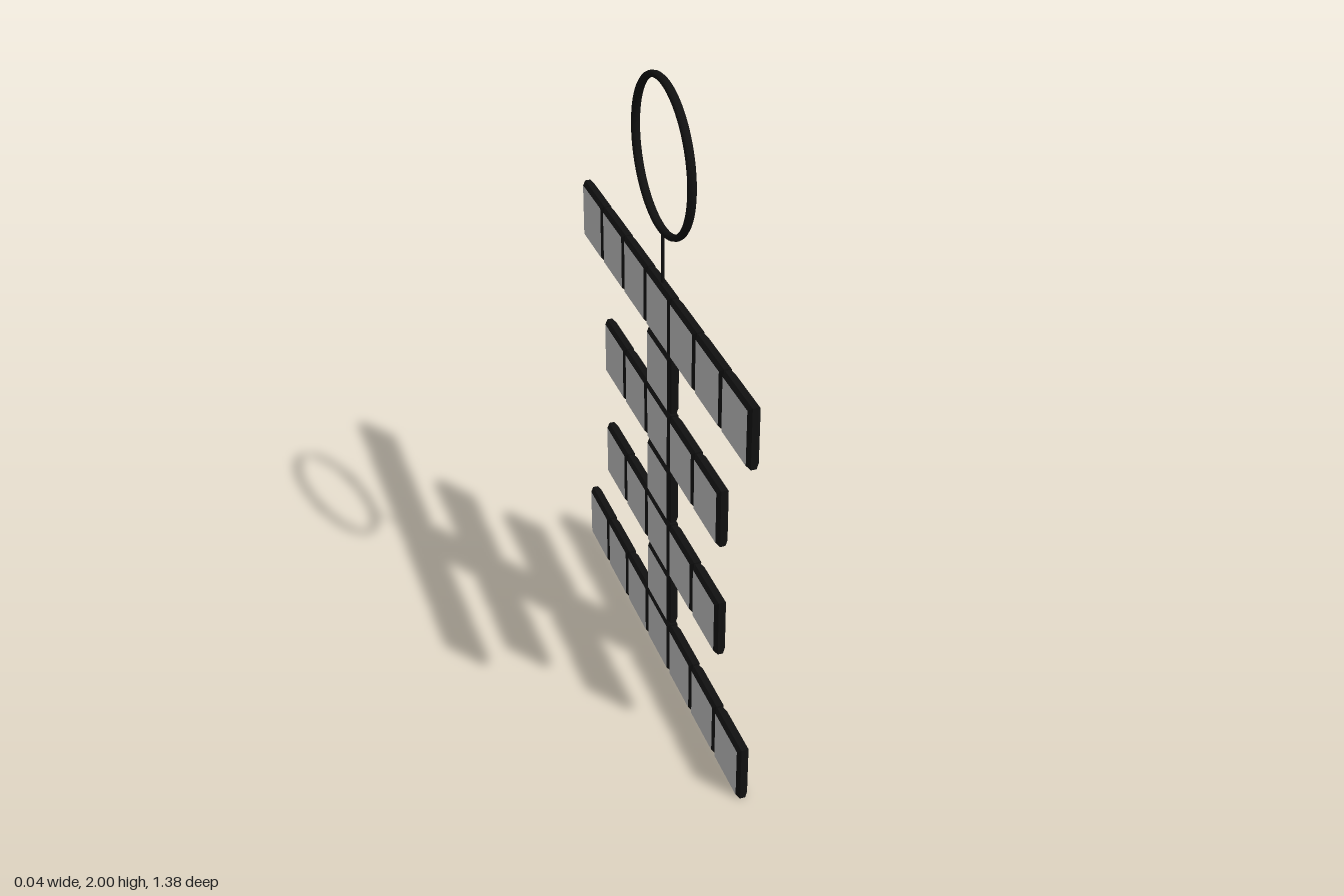
import * as THREE from 'three';

const SIZE = 0.191, PITCH = 0.1975, BEVEL = 0.01, THICK = 0.036;
const BASE_Y = SIZE / 2;

export function createModel() {
  const group = new THREE.Group();
  const dark = new THREE.MeshStandardMaterial({ color: 0x111111 });
  const grey = new THREE.MeshStandardMaterial({ color: 0xcccccc });

  // Bevelled square frame, turned so its faces look along x
  const h = SIZE / 2 - BEVEL;
  const square = new THREE.Shape([
    new THREE.Vector2(-h, -h), new THREE.Vector2(h, -h),
    new THREE.Vector2(h, h), new THREE.Vector2(-h, h),
  ]);
  const depth = THICK - 2 * BEVEL;
  const frameGeo = new THREE.ExtrudeGeometry(square, {
    depth, bevelEnabled: true, bevelThickness: BEVEL, bevelSize: BEVEL, bevelSegments: 1,
  });
  frameGeo.translate(0, 0, -depth / 2).rotateY(Math.PI / 2);
  const paneGeo = new THREE.PlaneGeometry(2 * h, 2 * h);

  function addTile(row, col) {
    const tile = new THREE.Group();
    tile.name = 'tile';
    const frame = new THREE.Mesh(frameGeo, dark);
    frame.name = 'tileFrame';
    tile.add(frame);
    for (const side of [1, -1]) {
      const pane = new THREE.Mesh(paneGeo, grey);
      pane.name = 'tilePane';
      pane.rotation.y = side * Math.PI / 2;
      pane.position.x = side * (THICK / 2 + 0.0006);
      tile.add(pane);
    }
    tile.position.set(0, BASE_Y + row * PITCH, col * PITCH);
    group.add(tile);
  }

  // Tiles on each side of the central column, from the bottom row up
  [3, 0, 2, 0, 2, 0, 3].forEach((reach, row) => {
    for (let col = -reach; col <= reach; col++) addTile(row, col);
  });

  // Hanging ring, a little wider along x than it is thick
  const R = 0.224, tube = 0.01;
  const ring = new THREE.Mesh(new THREE.TorusGeometry(R, tube, 10, 64), dark);
  ring.name = 'hangingRing';
  ring.scale.z = 1.3;
  ring.rotation.y = Math.PI / 2;
  ring.position.y = 2 - R - tube;
  group.add(ring);

  // Wire between the ring and the top row
  const y0 = BASE_Y + 6 * PITCH + SIZE / 2 - 0.005;
  const y1 = 2 - 2 * R - tube;
  const wire = new THREE.Mesh(new THREE.CylinderGeometry(0.005, 0.005, y1 - y0, 10), dark);
  wire.name = 'wire';
  wire.position.y = (y0 + y1) / 2;
  group.add(wire);

  return group;
}
